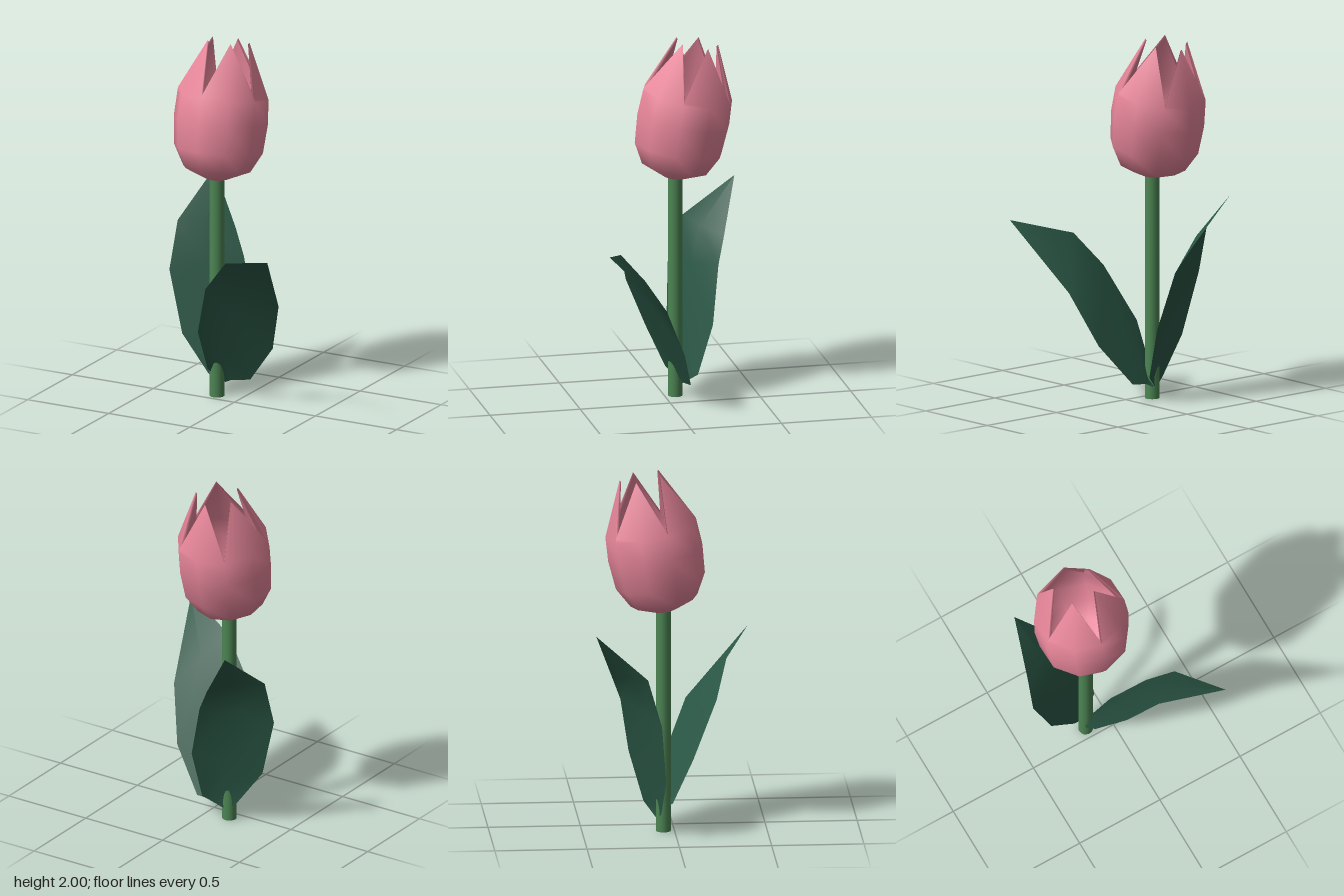
import * as THREE from 'three';

const SIDES = 10; // five petals: even columns are notches, odd columns are tips

function gridGeometry(rows, closed) {
  const n = rows[0].length, index = [];
  for (let i = 0; i < rows.length - 1; i++) {
    for (let j = 0; j < (closed ? n : n - 1); j++) {
      const k = (j + 1) % n;
      const a = i * n + j, b = i * n + k, c = (i + 1) * n + k, d = (i + 1) * n + j;
      index.push(a, b, d, b, c, d);
    }
  }
  const g = new THREE.BufferGeometry();
  g.setAttribute('position', new THREE.Float32BufferAttribute(rows.flat(2), 3));
  g.setIndex(index);
  g.computeVertexNormals();
  return g;
}

// One ring of the bloom; the notch columns may differ from the tip columns
function ring(h, r, notchH = h, notchR = r) {
  return Array.from({ length: SIDES }, (_, j) => {
    const a = (j / SIDES) * Math.PI * 2;
    const [y, rad] = j % 2 ? [h, r] : [notchH, notchR];
    return [rad * Math.sin(a), y, rad * Math.cos(a)];
  });
}

function addMesh(parent, name, geometry, material) {
  const mesh = new THREE.Mesh(geometry, material);
  mesh.name = name;
  parent.add(mesh);
  return mesh;
}

// Leaf blade from matching left and right edge points, with a raised midrib
function leafGeometry(base, pairs, tip, bulge) {
  const rows = pairs.map(([l, r]) => [l, l.map((v, i) => (v + r[i]) / 2 + bulge[i]), r]);
  return gridGeometry([[base, base, base], ...rows, [tip, tip, tip]], false);
}

export function createModel() {
  const model = new THREE.Group();
  const petal = new THREE.MeshStandardMaterial({ color: 0xe8879b, side: THREE.DoubleSide });
  const stemGreen = new THREE.MeshStandardMaterial({ color: 0x4c8553 });
  const leafGreen = new THREE.MeshStandardMaterial({ color: 0x2a5645, side: THREE.DoubleSide });

  // Stem
  const stem = addMesh(model, 'stem', new THREE.CylinderGeometry(0.04, 0.04, 1.25, 16), stemGreen);
  stem.position.set(-0.14, 0.625, -0.06);

  // Bloom leaning back: up the outside, over the pointed rim, down the inside
  const bloom = addMesh(model, 'bloom', gridGeometry([
    ring(0, 0), ring(0.015, 0.06), ring(0.07, 0.185), ring(0.18, 0.245),
    ring(0.34, 0.259), ring(0.475, 0.251), ring(0.775, 0.12, 0.492, 0.249),
    ring(0.765, 0.113, 0.487, 0.227), ring(0.465, 0.23), ring(0.34, 0.238),
    ring(0.19, 0.222), ring(0.09, 0.165), ring(0.04, 0),
  ], true), petal);
  bloom.position.set(-0.14, 1.22, -0.045);
  bloom.rotation.x = -THREE.MathUtils.degToRad(10);

  // Leaves
  addMesh(model, 'frontLeaf', leafGeometry([-0.11, 0.07, -0.1], [
    [[-0.17, 0.16, -0.01], [-0.07, 0.09, -0.085]],
    [[-0.17, 0.40, 0.10], [0.04, 0.105, -0.105]],
    [[-0.05, 0.70, 0.235], [0.22, 0.33, -0.03]],
    [[0.11, 0.89, 0.30], [0.325, 0.62, 0.095]],
  ], [0.445, 0.985, 0.44], [-0.005, 0.008, -0.01]), leafGreen);

  addMesh(model, 'backLeaf', leafGeometry([-0.14, 0.06, -0.09], [
    [[-0.2, 0.11, -0.075], [-0.03, 0.14, -0.16]],
    [[-0.355, 0.32, -0.06], [-0.015, 0.42, -0.24]],
    [[-0.45, 0.66, -0.09], [-0.10, 0.73, -0.29]],
    [[-0.44, 0.92, -0.165], [-0.18, 0.87, -0.34]],
  ], [-0.365, 1.15, -0.44], [0.01, 0.005, 0.015]), leafGreen);

  return model;
}
